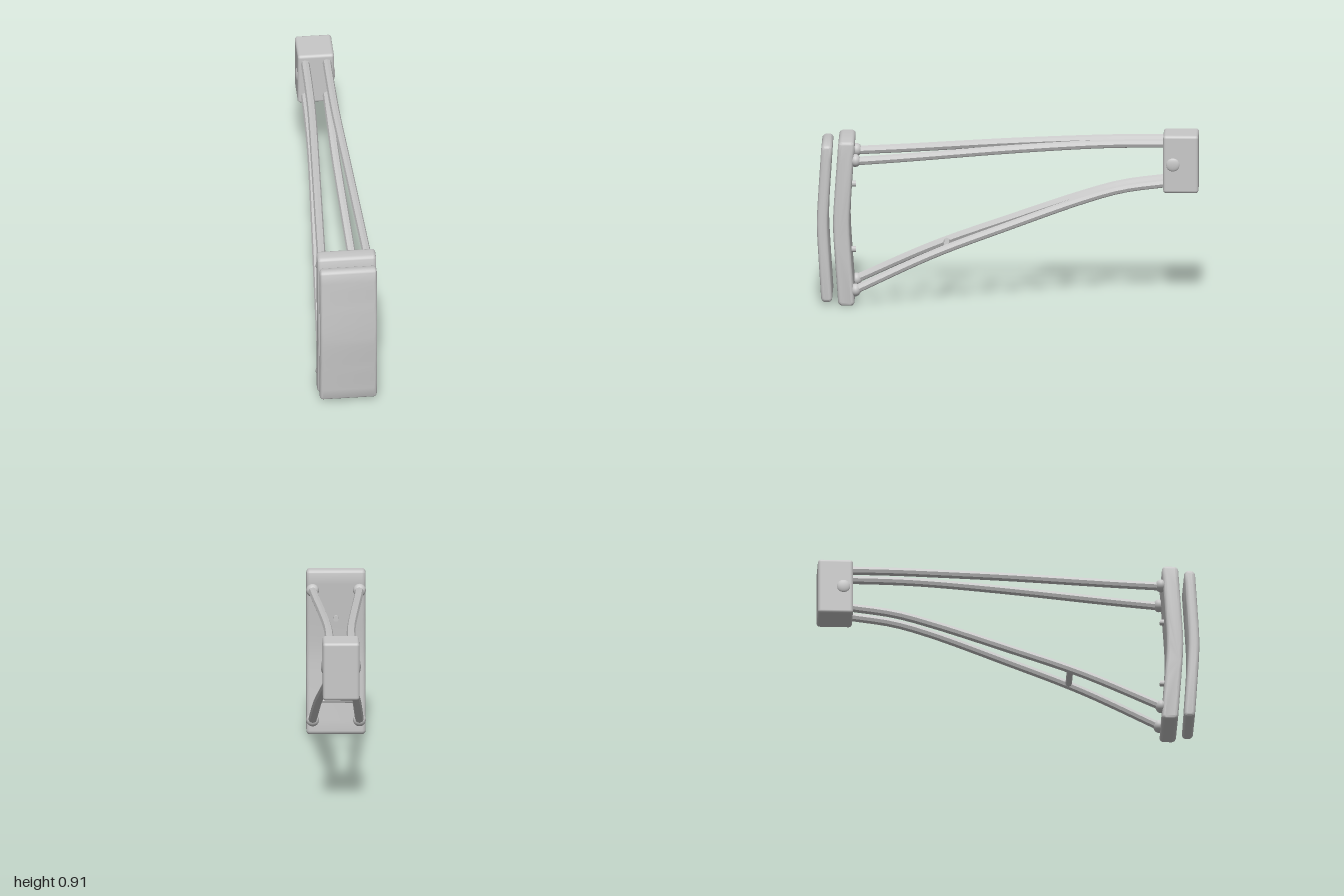
import * as THREE from 'three';
import { toCreasedNormals } from 'three/addons/utils/BufferGeometryUtils.js';
import { RoundedBoxGeometry } from 'three/addons/geometries/RoundedBoxGeometry.js';

export function createModel() {
  const root = new THREE.Group();
  root.name = 'bracedPad';
  const grey = new THREE.MeshStandardMaterial({ color: 0xc8c8c8 });
  grey.name = 'light grey';

  const add = (name, geo, x = 0, y = 0, z = 0) => {
    const mesh = new THREE.Mesh(geo, grey);
    mesh.name = name;
    mesh.position.set(x, y, z);
    root.add(mesh);
    return mesh;
  };

  // Soft-edged slab, gently bent forward at mid height; side profile extruded across x
  function bentSlab({ y0, y1, zBack, zFront, width, bend, r, bevel }) {
    const half = (y1 - y0) / 2, mid = (y0 + y1) / 2;
    const lean = y => -bend * (Math.hypot((y - mid) / half, 0.15) - 0.15) / 0.861;
    const pts = [];
    const put = (z, y) => pts.push(new THREE.Vector2(z + lean(y), y));
    const corner = (cz, cy, start) => {
      for (let i = 0; i <= 5; i++) {
        const a = start + (i / 5) * Math.PI / 2;
        put(cz + r * Math.cos(a), cy + r * Math.sin(a));
      }
    };
    const side = (z, from, to) => {
      for (let i = 1; i < 16; i++) put(z, from + (to - from) * i / 16);
    };
    corner(zBack + r, y0 + r, Math.PI);
    corner(zFront - r, y0 + r, Math.PI * 1.5);
    side(zFront, y0 + r, y1 - r);
    corner(zFront - r, y1 - r, 0);
    corner(zBack + r, y1 - r, Math.PI / 2);
    side(zBack, y1 - r, y0 + r);
    const depth = width - 2 * bevel;
    const geo = new THREE.ExtrudeGeometry(new THREE.Shape(pts), {
      depth, bevelEnabled: true, bevelSize: bevel, bevelThickness: bevel,
      bevelOffset: -bevel, bevelSegments: 4,
    });
    geo.translate(0, 0, -depth / 2);
    geo.rotateY(-Math.PI / 2);
    return toCreasedNormals(geo, 0.6);
  }

  // Front cushion and the backing plate behind it
  add('frontPad', bentSlab({ y0: 0.018, y1: 0.863, zBack: 0.942, zFront: 1.0,
    width: 0.3, bend: 0.024, r: 0.022, bevel: 0.018 }));
  add('backingPlate', bentSlab({ y0: 0, y1: 0.884, zBack: 0.829, zFront: 0.915,
    width: 0.31, bend: 0.028, r: 0.022, bevel: 0.018 }));

  // Rear mounting block
  add('mountingBlock', new RoundedBoxGeometry(0.192, 0.31, 0.185, 4, 0.016), 0, 0.759, -0.9075);

  // Rod paths as [x, y, z] on the left side
  const paths = {
    upper: [[0.124, 0.776, 0.81], [0.111, 0.793, 0.55], [0.082, 0.834, 0], [0.062, 0.857, -0.4],
      [0.058, 0.864, -0.6], [0.057, 0.866, -0.85]],
    lower: [[0.124, 0.078, 0.81], [0.103, 0.273, 0.39], [0.082, 0.42, 0], [0.062, 0.563, -0.4],
      [0.058, 0.62, -0.6], [0.057, 0.655, -0.85]],
  };

  for (const [label, path] of Object.entries(paths)) {
    for (const s of [1, -1]) {
      const side = s > 0 ? 'Left' : 'Right';
      const curve = new THREE.CatmullRomCurve3(path.map(([x, y, z]) => new THREE.Vector3(s * x, y, z)));
      add(label + 'Rod' + side, toCreasedNormals(new THREE.TubeGeometry(curve, 24, 0.023, 8), 0.5));
      // Rounded socket where the rod meets the plate
      const socket = add(label + 'Socket' + side, new THREE.SphereGeometry(0.034, 20, 14),
        s * 0.123, path[0][1] + 0.004, 0.798);
      socket.scale.z = 0.85;
    }
  }

  // Spacer bar between the lower rods
  const bar = new THREE.CylinderGeometry(0.017, 0.017, 0.19, 8);
  bar.rotateZ(Math.PI / 2);
  add('spacerBar', toCreasedNormals(bar, 0.5), 0, 0.3, 0.323);

  // Domed pivot caps on both sides of the block
  for (const s of [1, -1]) {
    const cap = add(s > 0 ? 'pivotCapLeft' : 'pivotCapRight',
      new THREE.SphereGeometry(0.036, 24, 14), s * 0.094, 0.759, -0.866);
    cap.scale.x = 0.3;
  }

  // Small screws on the back of the plate
  for (const y of [0.273, 0.626]) {
    const screw = new THREE.CylinderGeometry(0.015, 0.015, 0.04, 16);
    screw.rotateX(Math.PI / 2);
    add('plateScrew', toCreasedNormals(screw, 0.6), 0, y, 0.818);
  }

  return root;
}
